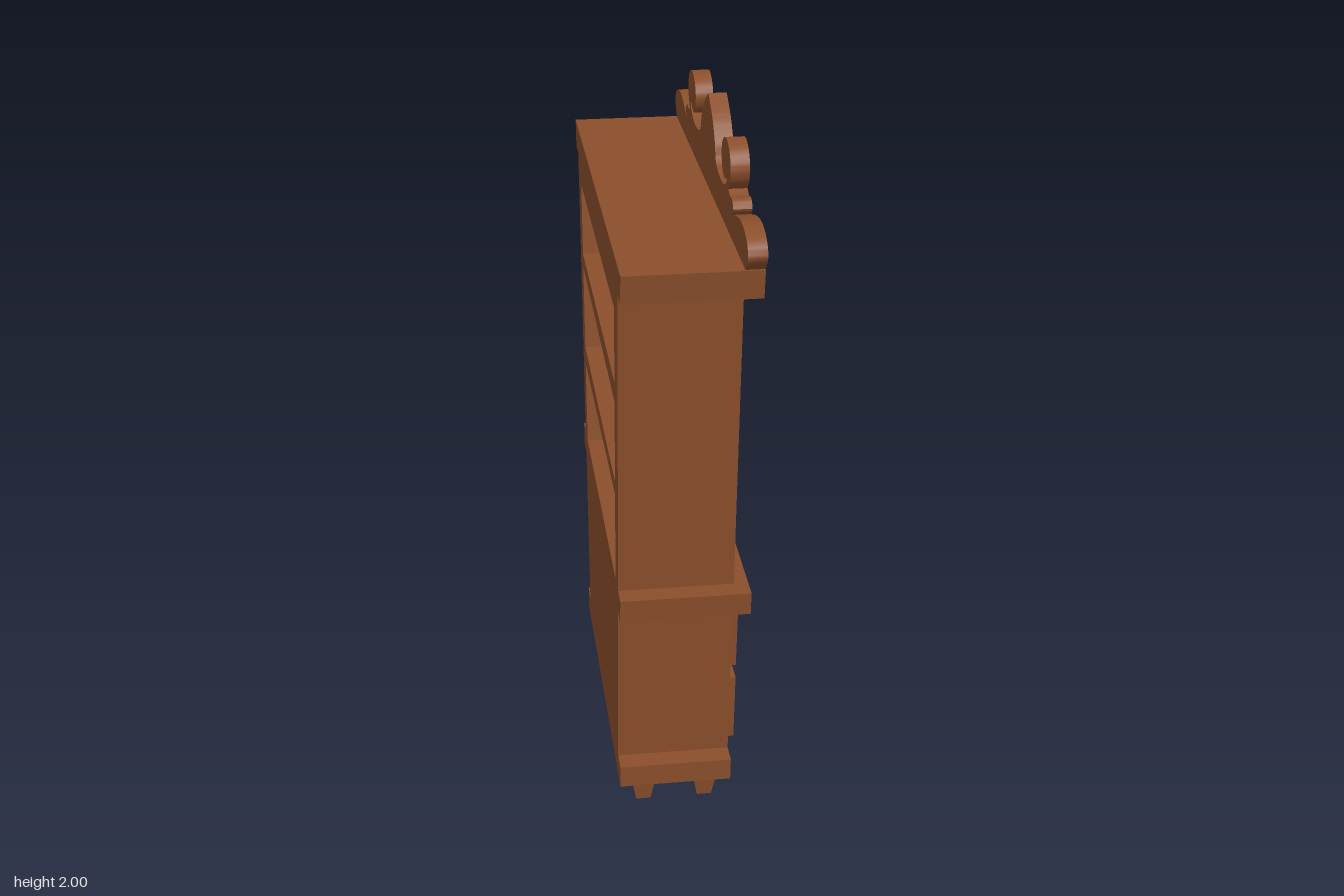
import * as THREE from 'three';
import { toCreasedNormals } from 'three/addons/utils/BufferGeometryUtils.js';

const wood = new THREE.MeshStandardMaterial({ color: 0x8b4f2c });
const brass = new THREE.MeshStandardMaterial({ color: 0xb0a060 });
const BACK = -0.19;

const V = (p) => new THREE.Vector2(p[0], p[1]);

// Mesh extruded from an outline between two depths
function slab(name, pts, z0, z1, material = wood) {
  const geo = new THREE.ExtrudeGeometry(new THREE.Shape(pts.map(V)), { depth: z1 - z0, bevelEnabled: false });
  const mesh = new THREE.Mesh(toCreasedNormals(geo, 0.6), material);
  mesh.position.z = z0;
  mesh.name = name;
  return mesh;
}

// Slanted board: half widths at bottom and top
const board = (name, y0, y1, w0, w1, z0, z1) =>
  slab(name, [[-w0, y0], [w0, y0], [w1, y1], [-w1, y1]], z0, z1);

// Smooth points through a list of curve sections that meet in sharp corners
function throughSections(sections) {
  const out = [];
  for (const s of sections) {
    const pts = new THREE.SplineCurve(s.map(V)).getPoints((s.length - 1) * 5);
    pts.forEach((p, i) => { if (i || !out.length) out.push([p.x, p.y]); });
  }
  return out;
}

// Carved crest with scrolls, drawn as its left half and mirrored
function makeCrest() {
  const half = throughSections([
    [[-0.645, 1.74], [-0.679, 1.782], [-0.653, 1.82], [-0.584, 1.838], [-0.51, 1.83], [-0.424, 1.804]],
    [[-0.424, 1.804], [-0.443, 1.825], [-0.42, 1.846], [-0.387, 1.842], [-0.361, 1.852]],
    [[-0.361, 1.852], [-0.387, 1.883], [-0.393, 1.92], [-0.366, 1.958], [-0.313, 1.973], [-0.26, 1.952],
      [-0.241, 1.915], [-0.26, 1.873], [-0.297, 1.86], [-0.34, 1.878]],
    [[-0.34, 1.878], [-0.318, 1.852], [-0.265, 1.836], [-0.19, 1.84], [-0.143, 1.857], [-0.127, 1.895],
      [-0.105, 1.925], [-0.07, 1.958], [0, 2]],
  ]);
  const mirrored = half.slice(0, -1).reverse().map(([x, y]) => [-x, y]);
  return slab('crest', [...half, ...mirrored], 0.12, 0.17);
}

// Brass plate with a turned knob
function makeHandle(y) {
  const g = new THREE.Group();
  g.name = 'drawerHandle';
  const q = [[0.122, 0], [0.105, 0.015], [0.09, 0.018], [0.095, 0.034], [0.082, 0.042], [0.068, 0.036],
    [0.072, 0.018], [0.046, 0.017], [0.038, 0.037], [0.018, 0.045], [0, 0.058]];
  const top = [...q, ...q.slice(0, -1).reverse().map(([x, v]) => [-x, v])];
  const bottom = top.slice(1, -1).reverse().map(([x, v]) => [x, -v]);
  g.add(slab('handlePlate', [...top, ...bottom], 0.153, 0.163, brass));
  const profile = [[0.013, 0], [0.01, 0.008], [0.02, 0.012], [0.024, 0.017], [0.018, 0.022], [0, 0.025]];
  const knob = new THREE.Mesh(new THREE.LatheGeometry(profile.map(V), 16), brass);
  knob.rotation.x = Math.PI / 2;
  knob.position.z = 0.16;
  knob.name = 'knob';
  g.add(knob);
  g.position.y = y;
  return g;
}

export function createModel() {
  const cabinet = new THREE.Group();
  cabinet.name = 'cabinet';

  // Cornice, counter and plinth
  cabinet.add(
    makeCrest(),
    board('cornice', 1.66, 1.74, 0.64, 0.652, BACK, 0.17),
    board('counter', 0.69, 0.76, 0.55, 0.558, BACK, 0.17),
    board('plinth', 0.105, 0.175, 0.5, 0.505, BACK, 0.13),
  );

  // Open upper shelving
  cabinet.add(
    board('topBoard', 1.59, 1.66, 0.487, 0.49, BACK, 0.122),
    slab('upperShelf', [[-0.475, 1.315], [0.475, 1.332], [0.475, 1.374], [-0.475, 1.374]], BACK, 0.125),
    slab('lowerShelf', [[-0.455, 1.032], [0.452, 1.02], [0.455, 1.072], [-0.455, 1.072]], BACK, 0.125),
  );

  // Lower carcass, set back behind its side posts
  cabinet.add(board('carcass', 0.175, 0.69, 0.42, 0.46, BACK, 0.12));

  for (const s of [-1, 1]) {
    // Leaning side panels
    cabinet.add(slab('upperSide', [[s * 0.5, 0.76], [s * 0.573, 1.66], [s * 0.488, 1.66], [s * 0.432, 0.76]], BACK, 0.13));
    cabinet.add(slab('lowerSide', [[s * 0.445, 0.175], [s * 0.487, 0.69], [s * 0.41, 0.69], [s * 0.385, 0.175]], BACK, 0.13));
    // Tapered square legs
    for (const z of [-0.115, 0.065]) {
      const geo = new THREE.CylinderGeometry(0.04 * Math.SQRT2, 0.021 * Math.SQRT2, 0.105, 4, 1);
      geo.rotateY(Math.PI / 4);
      const leg = new THREE.Mesh(toCreasedNormals(geo, 0.5), wood);
      leg.position.set(s * 0.402, 0.0525, z);
      leg.name = 'leg';
      cabinet.add(leg);
    }
  }

  // Slightly crooked drawer fronts
  cabinet.add(
    slab('upperDrawer', [[-0.413, 0.437], [0.414, 0.43], [0.439, 0.653], [-0.435, 0.653]], 0.12, 0.155),
    slab('lowerDrawer', [[-0.393, 0.178], [0.405, 0.178], [0.418, 0.382], [-0.413, 0.394]], 0.12, 0.155),
    makeHandle(0.546),
    makeHandle(0.277),
  );

  // The cabinet's doors and drawers look along +x
  cabinet.rotation.y = Math.PI / 2;
  const model = new THREE.Group();
  model.name = 'model';
  model.add(cabinet);
  return model;
}
